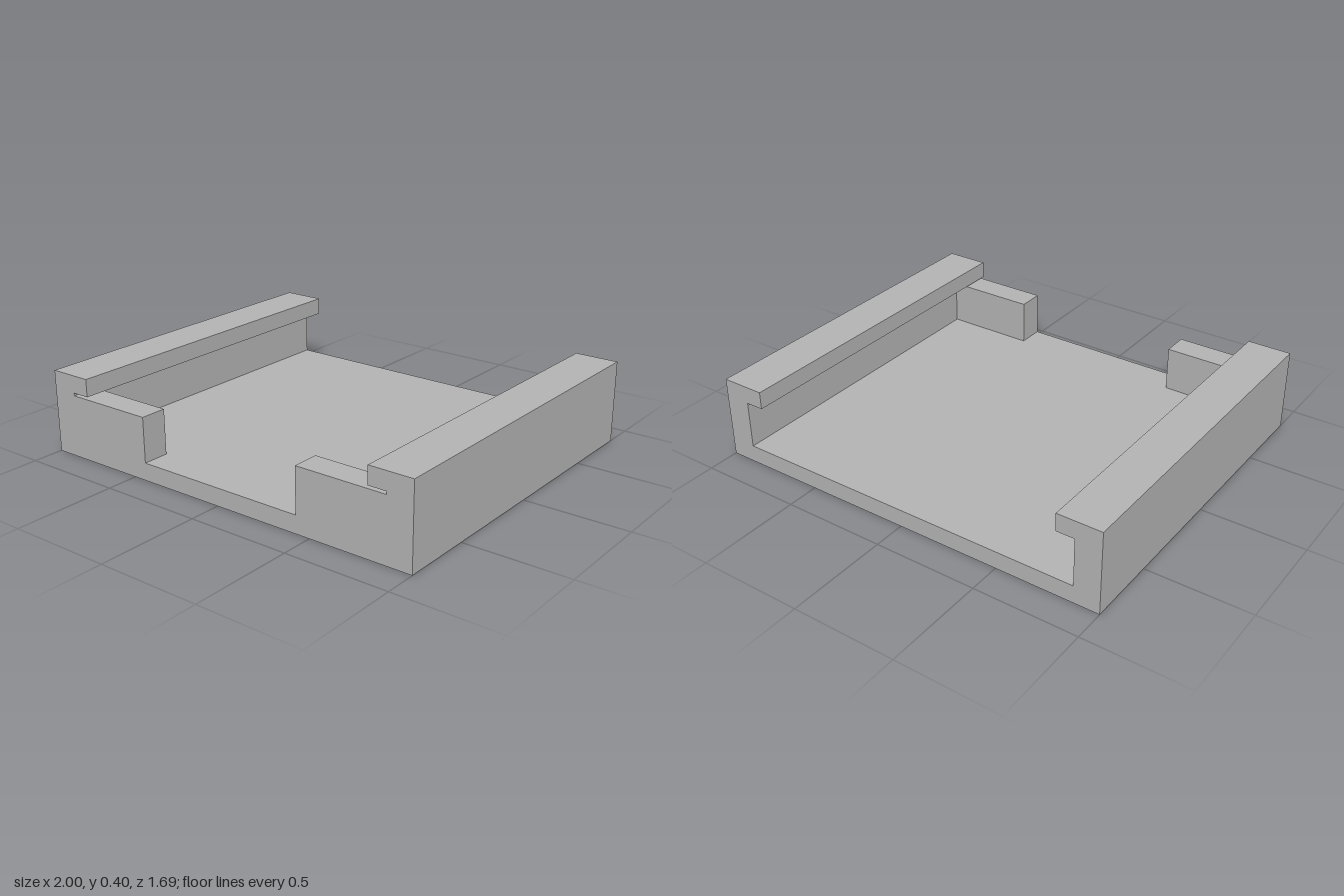
import * as THREE from 'three';

const HALF_DEPTH = 0.845, FLOOR = 0.085, WALL = 0.875;

export function createModel() {
  const group = new THREE.Group();
  group.name = 'slideInTray';
  const grey = new THREE.MeshStandardMaterial({ color: 0xb2b2b2 });
  grey.name = 'grey';

  // Channel section: floor, side walls and inward lips (right half, mirrored)
  const half = [[1, 0], [1, 0.4], [0.787, 0.4], [0.787, 0.315], [WALL, 0.315], [WALL, FLOOR]];
  const outline = [...half, ...half.map(([x, y]) => [-x, y]).reverse()];
  const section = new THREE.Shape(outline.map(([x, y]) => new THREE.Vector2(x, y)));
  const channelGeometry = new THREE.ExtrudeGeometry(section, { depth: HALF_DEPTH * 2, bevelEnabled: false });
  channelGeometry.translate(0, 0, -HALF_DEPTH);
  const channel = new THREE.Mesh(channelGeometry, grey);
  channel.name = 'channel';
  group.add(channel);

  // Front stops, leaving a thin slot below each lip
  const inner = 0.43, top = 0.302, depth = 0.13;
  for (const side of [1, -1]) {
    const stop = new THREE.Mesh(new THREE.BoxGeometry(WALL - inner, top - FLOOR, depth), grey);
    stop.position.set(side * (WALL + inner) / 2, (top + FLOOR) / 2, HALF_DEPTH - depth / 2);
    stop.name = side > 0 ? 'leftFrontStop' : 'rightFrontStop';
    group.add(stop);
  }
  return group;
}
